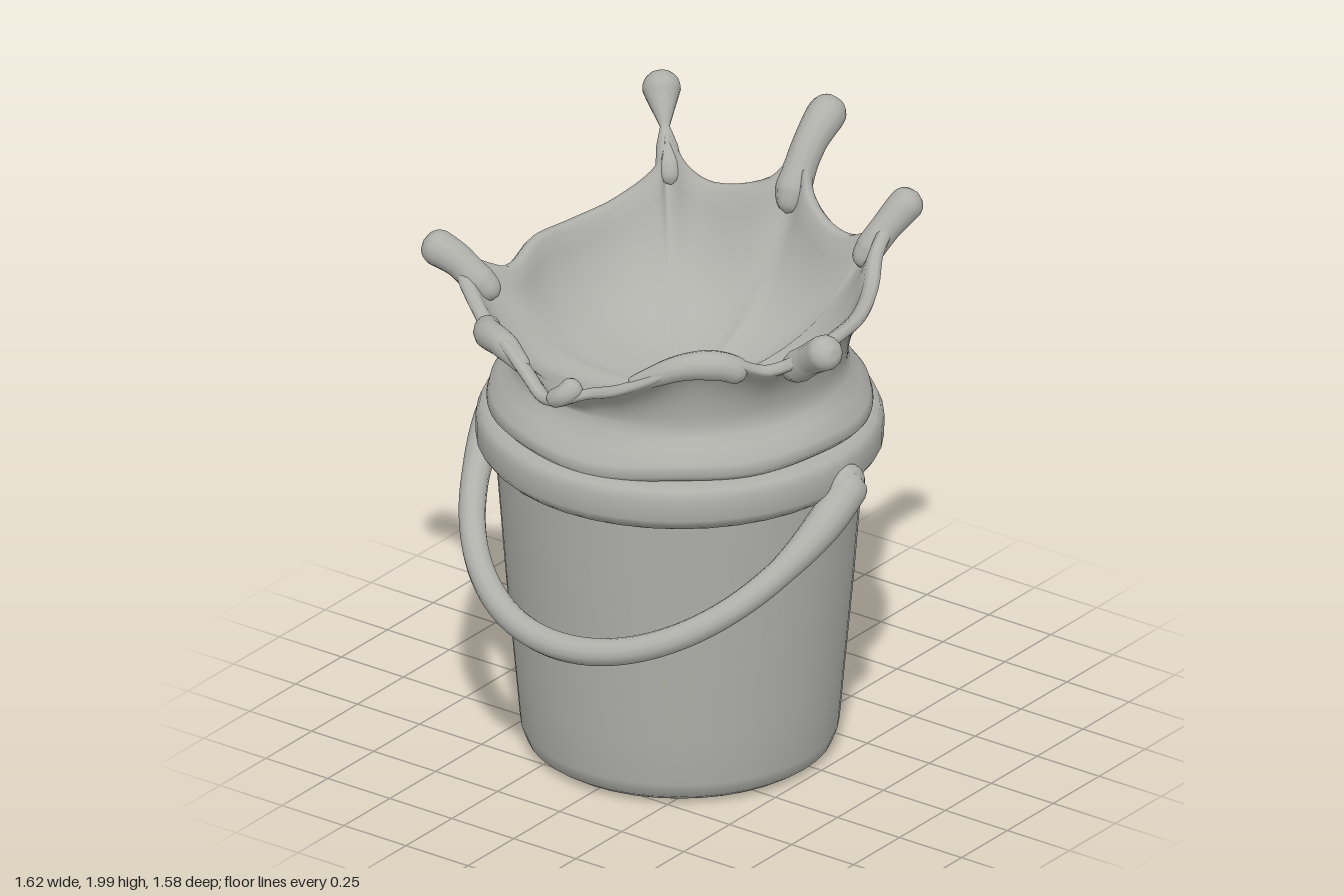
import * as THREE from 'three';
import { mergeVertices } from 'three/addons/utils/BufferGeometryUtils.js';

const CX = -0.015, CZ = 0.075; // bucket axis
const V = (p) => new THREE.Vector3(...p);

// Edge of the splash, starting at the back and running past +x and the front
const RIM = [
  [-.02, 1.85, -.62], [.06, 1.74, -.53], [.18, 1.68, -.475], [.28, 1.67, -.46], [.36, 1.71, -.47],
  [.415, 1.78, -.505], [.445, 1.69, -.38], [.5, 1.63, -.28], [.57, 1.61, -.12], [.6, 1.61, .04],
  [.6, 1.6, .17], [.68, 1.665, .305], [.56, 1.6, .37], [.5, 1.64, .46], [.4, 1.66, .55],
  [.28, 1.59, .635], [.17, 1.535, .68], [.07, 1.5, .69], [0, 1.475, .735], [-.1, 1.45, .71],
  [-.2, 1.5, .675], [-.3, 1.55, .64], [-.42, 1.53, .57], [-.5, 1.5, .48], [-.67, 1.64, .385],
  [-.59, 1.58, .24], [-.61, 1.61, .06], [-.59, 1.61, -.1], [-.53, 1.64, -.28], [-.46, 1.73, -.4],
  [-.48, 1.81, -.48], [-.37, 1.73, -.45], [-.28, 1.69, -.47], [-.1, 1.74, -.53],
];

function smooth(geo) {
  geo.deleteAttribute('uv');
  geo.deleteAttribute('normal');
  const g = mergeVertices(geo, 1e-5);
  g.computeVertexNormals();
  return g;
}

// Tube with varying radius and rounded ends
function sweep(points, radii, seg = 36, sides = 12) {
  const curve = new THREE.CatmullRomCurve3(points);
  const len = curve.getLength();
  const geo = new THREE.TubeGeometry(curve, seg, 1, sides);
  const pos = geo.attributes.position, p = new THREE.Vector3();
  for (let i = 0; i <= seg; i++) {
    const t = i / seg, f = t * (radii.length - 1), k = Math.min(Math.floor(f), radii.length - 2);
    let r = THREE.MathUtils.lerp(radii[k], radii[k + 1], f - k);
    const d = Math.min(t, 1 - t) * len;
    if (d < r) r *= Math.sqrt(Math.max(1 - (1 - d / r) ** 2, 1e-4));
    const c = curve.getPointAt(t);
    for (let j = 0; j <= sides; j++) {
      const n = i * (sides + 1) + j;
      p.fromBufferAttribute(pos, n).sub(c).multiplyScalar(r).add(c);
      pos.setXYZ(n, p.x, p.y, p.z);
    }
  }
  return smooth(geo);
}

// Collar, flaring outer wall, rounded lip and inner bowl as one sheet of closed rings
function splashGeometry(rim) {
  const U = 170, positions = [], index = [];
  const bez = (a, b, c, t) => a * (1 - t) ** 2 + 2 * b * t * (1 - t) + c * t * t;
  let rows = 0;
  for (let i = 0; i < U; i++) {
    const P = rim.getPoint(i / U);
    const a = Math.atan2(P.z - CZ, P.x - CX), R = Math.hypot(P.x - CX, P.z - CZ);
    const w = 0.008 * Math.sin(3 * a) + 0.006 * Math.sin(7 * a + 1);
    const prof = [[.55, 1.2], [.605, 1.212 + w], [.627, 1.235 + w], [.618, 1.27 + w], [.585, 1.315 + w], [.555, 1.35]];
    for (let k = 0; k <= 8; k++) {
      const t = k / 8;
      prof.push([bez(.545, .55, R + .015, t), bez(1.385, 1.385 + .6 * (P.y - 1.385), P.y - .01, t)]);
    }
    prof.push([R + .02, P.y + .006], [R + .008, P.y + .02], [R - .012, P.y + .021]);
    for (let k = 0; k <= 12; k++) {
      const t = k / 12;
      prof.push([bez(R - .032, .49, 0, t), bez(P.y + .008, 1.27, 1.26, t)]);
    }
    rows = prof.length;
    for (const [r, y] of prof) positions.push(CX + r * Math.cos(a), y, CZ + r * Math.sin(a));
  }
  for (let i = 0; i < U; i++) for (let j = 0; j < rows - 1; j++) {
    const a = i * rows + j, b = ((i + 1) % U) * rows + j;
    index.push(a, a + 1, b, b, a + 1, b + 1);
  }
  const g = new THREE.BufferGeometry();
  g.setAttribute('position', new THREE.Float32BufferAttribute(positions, 3));
  g.setIndex(index);
  return smooth(g);
}

export function createModel() {
  const group = new THREE.Group();
  const grey = new THREE.MeshStandardMaterial({ color: 0xb0b0ab });
  grey.name = 'grey';
  const add = (name, geo) => {
    const m = new THREE.Mesh(geo, grey);
    m.name = name;
    group.add(m);
    return m;
  };
  const lathe = (pts) => new THREE.LatheGeometry(pts.map(([r, y]) => new THREE.Vector2(r, y)), 40);

  // Bucket body and its thick band
  add('bucketBody', lathe([[0, .003], [.42, .003], [.47, .01], [.5, .03], [.518, .08], [.533, .25],
    [.565, .6], [.596, 1], [.603, 1.1]])).position.set(CX, 0, CZ);
  add('bucketBand', lathe([[.58, 1.052], [.625, 1.056], [.645, 1.075], [.662, 1.1], [.663, 1.17],
    [.65, 1.203], [.62, 1.215], [.5, 1.215]])).position.set(CX, 0, CZ);

  // Swung-down handle with thicker ends
  const arc = [V([-.705, 1.125, .015])];
  for (let i = 0; i <= 24; i++) {
    const a = (i / 24) * Math.PI, s = Math.sin(a);
    arc.push(V([-.02 - .68 * Math.cos(a), 1.1 - .51 * s, .06 + .675 * s]));
  }
  arc.push(V([.665, 1.125, .015]));
  add('handle', sweep(arc, [.066, .062, .046, .044, .044, .045, .046, .045, .044, .044, .046, .062, .066], 80));
  for (const s of [-1, 1]) {
    const knob = add('handleKnob', new THREE.SphereGeometry(1, 20, 14));
    knob.scale.set(.05, .075, .085);
    knob.rotation.x = .64;
    knob.position.set(-.02 + s * .67, 1.09, .07);
  }

  // Splash sheet
  add('splash', splashGeometry(new THREE.CatmullRomCurve3(RIM.map(V), true)));

  // Fingers of liquid: path and radii
  const fingers = {
    backFinger: [[[-.02, 1.66, -.51], [-.02, 1.77, -.57], [-.02, 1.87, -.645], [-.02, 1.97, -.785]], [.035, .06, .054, .056, .064, .064]],
    backLeftFinger: [[[.35, 1.62, -.4], [.39, 1.71, -.45], [.425, 1.79, -.525], [.455, 1.845, -.585]], [.035, .05, .05, .056, .06]],
    leftFinger: [[[.56, 1.56, .265], [.63, 1.615, .29], [.7, 1.67, .31], [.8, 1.74, .345]], [.035, .055, .052, .058, .066]],
    rightFinger: [[[-.55, 1.54, .34], [-.62, 1.595, .365], [-.69, 1.65, .38], [-.8, 1.7, .41]], [.035, .055, .054, .06, .066]],
    backRightFinger: [[[-.41, 1.69, -.41], [-.46, 1.77, -.46], [-.5, 1.83, -.5], [-.56, 1.905, -.565], [-.605, 1.965, -.615]],
      [.03, .045, .036, .016, .04, .064, .062]],
    frontBead: [[[-.06, 1.46, .725], [0, 1.495, .725], [.03, 1.53, .68]], [.03, .035, .045]],
    frontLeftCurl: [[[.2, 1.555, .65], [.36, 1.635, .565], [.45, 1.64, .495], [.51, 1.6, .42]], [.025, .04, .05, .045]],
    frontRightCurl: [[[-.2, 1.5, .66], [-.33, 1.535, .61], [-.44, 1.52, .545], [-.5, 1.5, .46]], [.025, .045, .05, .04]],
  };
  for (const [name, [path, radii]] of Object.entries(fingers)) add(name, sweep(path.map(V), radii));

  return group;
}
